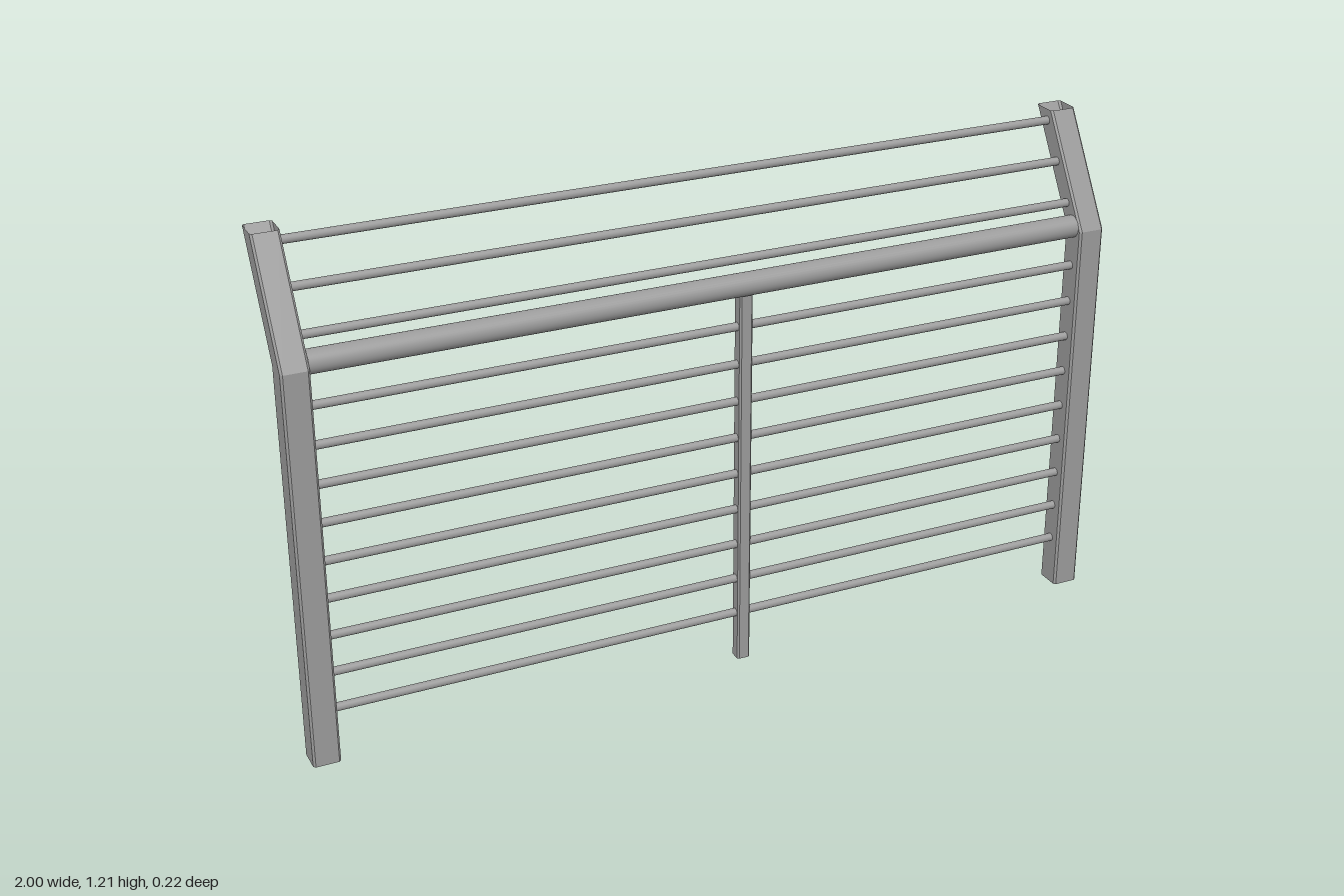
import * as THREE from 'three';
import { toCreasedNormals } from 'three/addons/utils/BufferGeometryUtils.js';

const POST = 0.064, POST_X = 0.968, Z = 0.078;
const BEND_Y = 0.95, TOP_Y = 1.205, TOP_Z = -0.076;

// Depth of the post centre line at a given height
const postZ = (y) => (y <= BEND_Y ? Z : Z + ((TOP_Z - Z) * (y - BEND_Y)) / (TOP_Y - BEND_Y));

// Open square tube with chamfered corners, lofted through [y, z] stations
function squareTube(size, chamfer, stations) {
  const h = size / 2, i = h - chamfer;
  const ring = [[h, i], [i, h], [-i, h], [-h, i], [-h, -i], [-i, -h], [i, -h], [h, -i]];
  const n = ring.length, pos = [], idx = [];
  for (const [y, z] of stations) for (const [px, pz] of ring) pos.push(px, y, z + pz);
  for (let s = 0; s < stations.length - 1; s++) {
    for (let j = 0; j < n; j++) {
      const a = s * n + j, b = s * n + ((j + 1) % n);
      idx.push(a, a + n, b, b, a + n, b + n);
    }
  }
  const geo = new THREE.BufferGeometry();
  geo.setAttribute('position', new THREE.Float32BufferAttribute(pos, 3));
  geo.setIndex(idx);
  return toCreasedNormals(geo, 0.3);
}

export function createModel() {
  const model = new THREE.Group();
  model.name = 'railing';
  const material = new THREE.MeshStandardMaterial({ color: 0x9b9b9b, side: THREE.DoubleSide });

  const add = (name, geometry, x, y, z) => {
    const mesh = new THREE.Mesh(geometry, material);
    mesh.name = name;
    mesh.position.set(x, y, z);
    model.add(mesh);
  };

  // Bent end posts, open at both ends
  const postGeo = squareTube(POST, 0.005, [[0, Z], [BEND_Y, Z], [TOP_Y, TOP_Z]]);
  add('leftPost', postGeo, POST_X, 0, 0);
  add('rightPost', postGeo, -POST_X, 0, 0);

  // Thin middle post, a little off centre, reaching up to the main rail
  add('middlePost', squareTube(0.032, 0.004, [[0, Z], [0.935, Z]]), 0.067, 0, 0);

  // Horizontal round bars span between the inner post faces
  const span = 2 * (POST_X - POST / 2);
  const bar = (radius, sides) =>
    new THREE.CylinderGeometry(radius, radius, span, sides, 1, true).rotateZ(Math.PI / 2);

  add('mainRail', bar(0.027, 32), 0, 0.955, 0.073);

  const rodGeo = bar(0.01, 16);
  for (let i = 0; i < 9; i++) add('lowerRod', rodGeo, 0, 0.122 + i * 0.092, Z);
  for (const y of [1.005, 1.092, 1.178]) add('upperRod', rodGeo, 0, y, postZ(y));

  return model;
}
